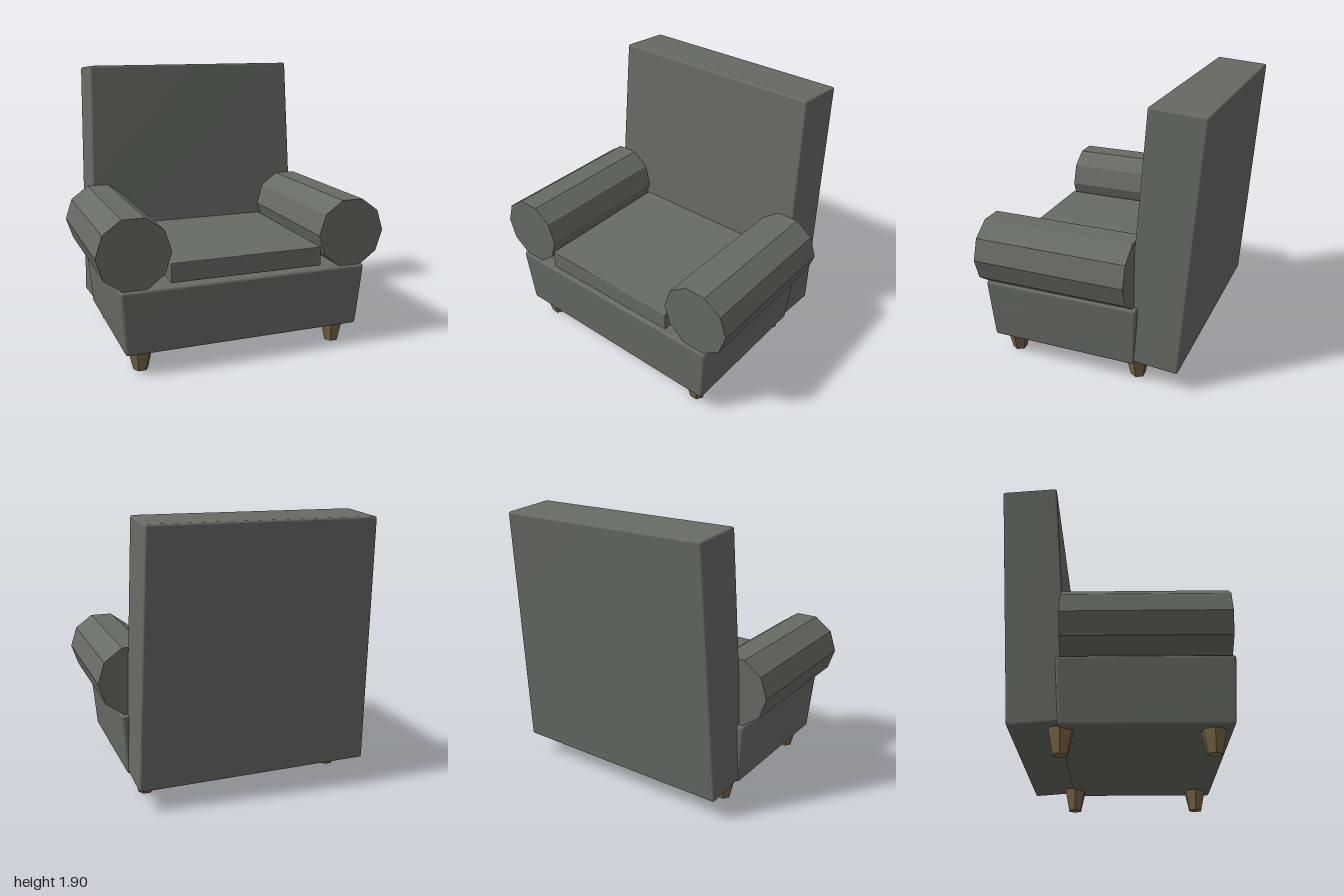
import * as THREE from 'three';
import { RoundedBoxGeometry } from 'three/addons/geometries/RoundedBoxGeometry.js';
import { mergeVertices } from 'three/addons/utils/BufferGeometryUtils.js';

const fabric = new THREE.MeshStandardMaterial({ color: 0x666b63 });
const wood = new THREE.MeshStandardMaterial({ color: 0x7a6544 });
const faceted = (material) => {
  const copy = material.clone();
  copy.flatShading = true;
  return copy;
};
const armFabric = faceted(fabric);
const legWood = faceted(wood);

// Soft-edged box whose width and depth change linearly from bottom to top
function taperedBox(bottomW, topW, h, bottomD, topD, radius) {
  let geo = new RoundedBoxGeometry(1, h, 1, 2, radius);
  // rebuild at true size so the edge rounding stays even
  geo.dispose();
  geo = new RoundedBoxGeometry(topW, h, topD, 2, radius);
  const p = geo.attributes.position;
  for (let i = 0; i < p.count; i++) {
    const t = p.getY(i) / h + 0.5;
    p.setX(i, p.getX(i) * THREE.MathUtils.lerp(bottomW / topW, 1, t));
    p.setZ(i, p.getZ(i) * THREE.MathUtils.lerp(bottomD / topD, 1, t));
  }
  geo.deleteAttribute('normal');
  geo.deleteAttribute('uv');
  const merged = mergeVertices(geo, 1e-5);
  merged.computeVertexNormals();
  return merged;
}

export function createModel() {
  const chair = new THREE.Group();
  chair.name = 'armchair';
  const add = (name, geo, material, x, y, z) => {
    const mesh = new THREE.Mesh(geo, material);
    mesh.name = name;
    mesh.position.set(x, y, z);
    chair.add(mesh);
    return mesh;
  };

  // Base, flaring upward
  add('base', taperedBox(1.645, 1.715, 0.435, 1.05, 1.1, 0.02), fabric, 0, 0.3625, 0.205);

  // Backrest, leaning back and narrowing upward
  const back = add('backrest', taperedBox(1.64, 1.54, 1.733, 0.37, 0.37, 0.015), fabric, 0, 1.023, -0.503);
  back.rotation.x = -0.0755;

  // Seat cushion, running back into the backrest
  add('seatCushion', taperedBox(1.05, 1.05, 0.13, 1.1, 1.1, 0.006), fabric, 0, 0.67, 0.195);

  // Ten-sided roll arms
  const armGeo = new THREE.CylinderGeometry(0.243, 0.243, 1.052, 10, 1, false, Math.PI / 2);
  armGeo.rotateX(Math.PI / 2);
  // Six-sided tapered legs
  const legGeo = new THREE.CylinderGeometry(0.087, 0.05, 0.16, 6, 1, false, Math.PI / 2);

  for (const [side, s] of [['left', 1], ['right', -1]]) {
    add(side + 'Arm', armGeo, armFabric, s * 0.757, 0.808, 0.209);
    add(side + 'FrontLeg', legGeo, legWood, s * 0.7, 0.08, 0.61);
    add(side + 'BackLeg', legGeo, legWood, s * 0.7, 0.08, -0.307);
  }
  return chair;
}
